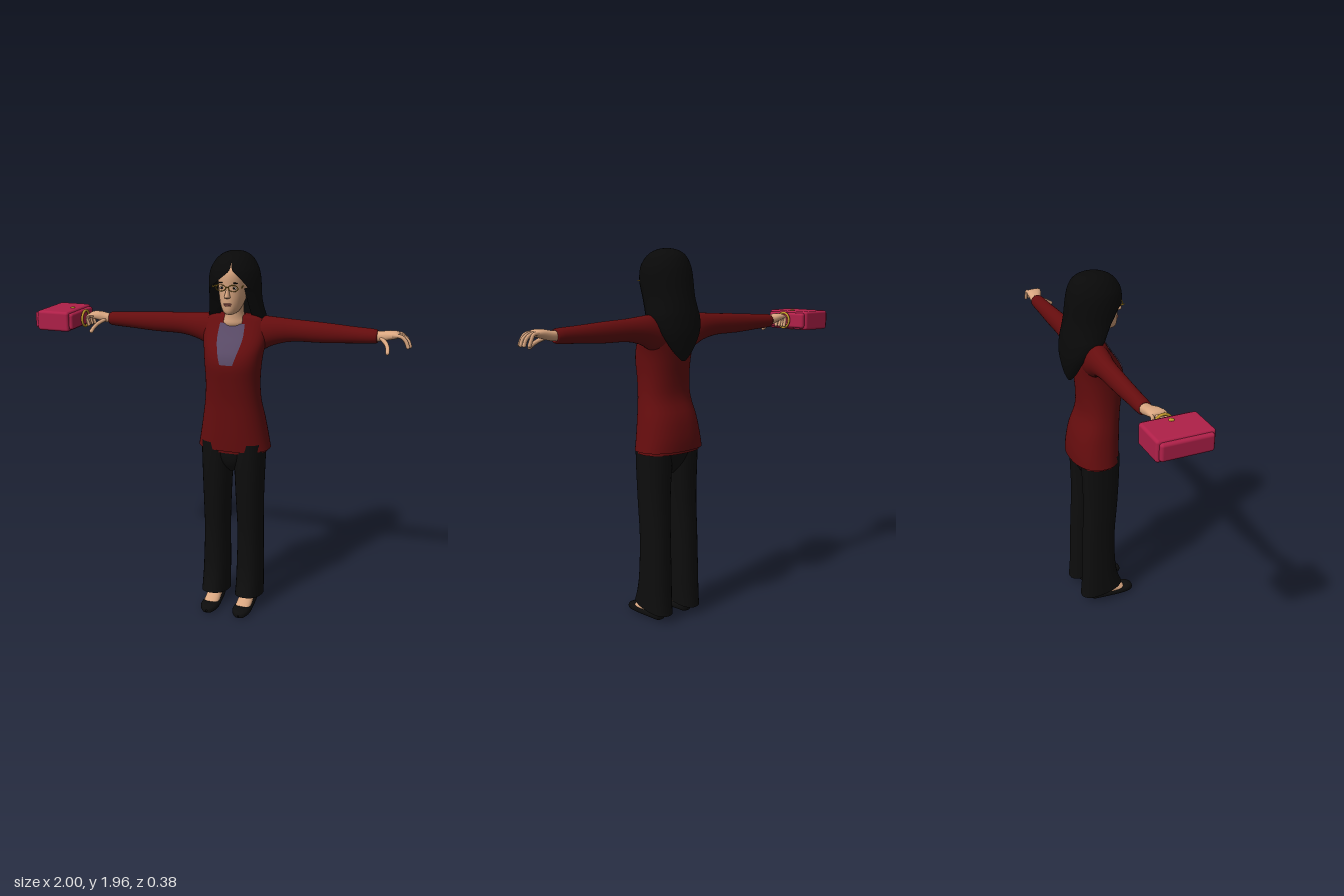
import * as THREE from 'three';
import { mergeVertices } from 'three/addons/utils/BufferGeometryUtils.js';
import { RoundedBoxGeometry } from 'three/addons/geometries/RoundedBoxGeometry.js';

const colour = (name, hex, side = THREE.FrontSide) => {
  const m = new THREE.MeshStandardMaterial({ color: hex, side });
  m.name = name;
  return m;
};

// Smooth interpolation through the rows of a profile, u in 0..1
function sample(rows, u) {
  const f = u * (rows.length - 1), i = Math.min(Math.floor(f), rows.length - 2), t = f - i;
  const r = k => rows[Math.max(0, Math.min(rows.length - 1, k))];
  return rows[i].map((b, k) => {
    const a = r(i - 1)[k], c = r(i + 1)[k], d = r(i + 2)[k];
    return b + 0.5 * t * (c - a + t * (2 * a - 5 * b + 4 * c - d + t * (3 * (b - c) + d - a)));
  });
}

// Surface from a point function on a (u, v) grid
function grid(nu, nv, fn) {
  const pos = [], idx = [];
  for (let i = 0; i <= nu; i++) for (let j = 0; j <= nv; j++) pos.push(...fn(i / nu, j / nv));
  for (let i = 0; i < nu; i++) for (let j = 0; j < nv; j++) {
    const a = i * (nv + 1) + j, b = a + nv + 1;
    idx.push(a, a + 1, b, a + 1, b + 1, b);
  }
  let g = new THREE.BufferGeometry();
  g.setAttribute('position', new THREE.Float32BufferAttribute(pos, 3));
  g.setIndex(idx);
  g = mergeVertices(g, 1e-5);
  g.computeVertexNormals();
  return g;
}

// Loft of ellipse-like sections; row = [along axis, side centre, side radius, low, high]
function loft(axis, rows, power = 2, nv = 28) {
  const pw = v => Math.sign(v) * Math.abs(v) ** (2 / power);
  return grid((rows.length - 1) * 3, nv, (u, v) => {
    const [t, c, r, lo, hi] = sample(rows, u), th = (v % 1) * Math.PI * 2;
    const a = c + r * pw(Math.sin(th)), b = (lo + hi) / 2 + (hi - lo) / 2 * pw(Math.cos(th));
    return axis === 'y' ? [a, t, b] : axis === 'x' ? [t, b, a] : [a, b, t];
  });
}

// Copy reflected to the other side, with corner order kept outward
function mirrored(geo) {
  const g = geo.clone().scale(-1, 1, 1), ix = g.index.array;
  for (let i = 0; i < ix.length; i += 3) [ix[i], ix[i + 1]] = [ix[i + 1], ix[i]];
  g.computeVertexNormals();
  return g;
}

export function createModel() {
  const D = THREE.DoubleSide;
  const skin = colour('skin', 0xd9a680), red = colour('jacket red', 0x650d0e, D), black = colour('trouser black', 0x0d0d0d, D),
    hairMat = colour('hair black', 0x090909, D), purple = colour('blouse purple', 0x594a66, D), pink = colour('bag pink', 0xb02049),
    gold = colour('gold', 0xc49a2c), lip = colour('lip', 0xb0685c), white = colour('eye white', 0xe8e0d8);
  const model = new THREE.Group();
  model.name = 'woman with handbag';
  const body = new THREE.Group();
  body.name = 'body';
  body.position.x = 0.105;
  model.add(body);
  const add = (name, geo, mat, p = [0, 0, 0], s = [1, 1, 1], parent = body) => {
    const m = new THREE.Mesh(geo, mat);
    m.name = name;
    m.position.set(...p);
    m.scale.set(...s);
    parent.add(m);
    return m;
  };
  const pair = (name, geo, mat) => {
    add('left ' + name, geo, mat);
    add('right ' + name, mirrored(geo), mat);
  };

  // Jacket
  const jacket = [[0.93, 0, 0.195, -0.153, 0.105], [1.0, 0, 0.182, -0.152, 0.11], [1.1, 0, 0.165, -0.135, 0.115],
    [1.2, 0, 0.148, -0.1, 0.12], [1.3, 0, 0.143, -0.097, 0.132], [1.39, 0, 0.148, -0.105, 0.143],
    [1.45, 0, 0.155, -0.112, 0.13], [1.5, 0, 0.165, -0.117, 0.1], [1.55, 0, 0.17, -0.117, 0.065],
    [1.6, 0, 0.165, -0.112, 0.035], [1.63, 0, 0.135, -0.1, 0.02], [1.64, 0, 0.05, -0.06, 0.01]];
  add('jacket', loft('y', jacket, 2.3, 48), red);
  add('jacket lining', loft('y', [[0.915, 0, 0.18, -0.138, 0.092], [0.96, 0, 0.178, -0.138, 0.095]], 2.3, 48), red);

  // Blouse panel laid over the chest
  const neckline = [[1.405, 0.034], [1.44, 0.045], [1.5, 0.062], [1.54, 0.068], [1.6, 0.066]];
  add('blouse', grid(24, 12, (u, v) => {
    const [y, hw] = sample(neckline, u), x = (v * 2 - 1) * hw;
    const k = jacket.findIndex(r => r[0] > y) - 1, f = (y - jacket[k][0]) / (jacket[k + 1][0] - jacket[k][0]);
    const [, , w, lo, hi] = sample(jacket, (k + f) / (jacket.length - 1));
    return [x, y, (lo + hi) / 2 + (hi - lo) / 2 * (1 - Math.abs(x / w) ** 2.3) ** (1 / 2.3) + 0.006];
  }), purple);

  // Sleeves
  pair('sleeve', loft('x', [[0.08, -0.04, 0.07, 1.44, 1.61], [0.14, -0.045, 0.066, 1.455, 1.632], [0.2, -0.05, 0.06, 1.485, 1.63],
    [0.3, -0.058, 0.048, 1.508, 1.622], [0.45, -0.06, 0.042, 1.511, 1.615], [0.6, -0.06, 0.038, 1.52, 1.605],
    [0.715, -0.06, 0.036, 1.527, 1.598], [0.717, -0.06, 0.02, 1.54, 1.585]]), red);

  // Hands: palm, thumb and four fingers, the right one gripping
  pair('palm', loft('x', [[0.69, -0.06, 0.025, 1.54, 1.586], [0.74, -0.058, 0.03, 1.541, 1.59], [0.78, -0.05, 0.038, 1.552, 1.598],
    [0.815, -0.045, 0.042, 1.562, 1.598], [0.83, -0.045, 0.034, 1.57, 1.592], [0.835, -0.045, 0.001, 1.58, 1.582]], 2.4), skin);
  const finger = (name, pts, r, s) => {
    const curve = new THREE.CatmullRomCurve3(pts.map(([x, y, z]) => new THREE.Vector3(x, y, z)));
    const tube = new THREE.TubeGeometry(curve, 12, r, 8);
    add(name, s > 0 ? tube : mirrored(tube), skin);
    const e = pts[pts.length - 1];
    add(name + ' tip', new THREE.SphereGeometry(r, 10, 8), skin, [e[0] * s, e[1], e[2]]);
  };
  for (const s of [1, -1]) {
    const side = s > 0 ? 'left' : 'right';
    finger(side + ' thumb', [[0.745, 1.56, -0.035], [0.775, 1.54, 0], [0.788, 1.52, 0.03], [0.79, 1.508, 0.048]], 0.0105, s);
    for (let i = 0; i < 4; i++) {
      const z = -0.077 + i * 0.022, d = [0.018, 0.004, 0, 0.008][i];
      finger(`${side} finger ${i + 1}`, s > 0
        ? [[0.8, 1.582, z], [0.845, 1.578, z], [0.875 - d, 1.558, z], [0.887 - d, 1.53, z]]
        : [[0.8, 1.582, z], [0.832, 1.578, z], [0.845 - d / 2, 1.558, z], [0.838 - d / 2, 1.53, z]], 0.0095, s);
    }
  }

  // Trousers, with the hem raised towards the front
  const leg = loft('y', [[0.04, 0.097, 0.073, -0.132, 0.115], [0.12, 0.097, 0.072, -0.125, 0.095], [0.25, 0.096, 0.071, -0.12, 0.075],
    [0.45, 0.095, 0.068, -0.115, 0.07], [0.65, 0.092, 0.073, -0.107, 0.085], [0.85, 0.09, 0.08, -0.112, 0.095],
    [0.97, 0.088, 0.085, -0.115, 0.095]], 2.3);
  const lp = leg.attributes.position;
  for (let i = 0; i < lp.count; i++) {
    const y = lp.getY(i), fade = Math.max(0, 1 - (y - 0.04) / 0.15);
    lp.setY(i, y + 0.2 * Math.max(0, lp.getZ(i) + 0.13) * fade);
  }
  leg.computeVertexNormals();
  pair('trouser leg', leg, black);
  add('trouser seat', loft('y', [[0.8, 0, 0.02, -0.06, 0.04], [0.85, 0, 0.08, -0.1, 0.08], [0.92, 0, 0.165, -0.118, 0.09],
    [1.0, 0, 0.15, -0.1, 0.08], [1.01, 0, 0.001, -0.01, 0.01]]), black);

  // Shoes and feet
  pair('shoe', loft('z', [[0.19, 0.092, 0.004, 0.01, 0.02], [0.182, 0.092, 0.026, 0, 0.033], [0.155, 0.092, 0.044, 0, 0.042],
    [0.11, 0.092, 0.05, 0, 0.042], [0.04, 0.093, 0.045, 0, 0.04], [-0.03, 0.094, 0.04, 0, 0.05],
    [-0.065, 0.094, 0.03, 0, 0.055], [-0.075, 0.094, 0.002, 0.02, 0.04]], 2.8), black);
  pair('foot', loft('z', [[0.14, 0.092, 0.01, 0.02, 0.03], [0.125, 0.092, 0.036, 0.01, 0.046], [0.08, 0.092, 0.042, 0.01, 0.066],
    [0.04, 0.093, 0.04, 0.01, 0.088], [0, 0.093, 0.036, 0.01, 0.13], [-0.04, 0.093, 0.03, 0.01, 0.13],
    [-0.055, 0.093, 0.002, 0.04, 0.1]]), skin);

  // Neck and head
  add('neck', loft('y', [[1.56, 0, 0.055, -0.07, 0.03], [1.595, 0, 0.066, -0.07, 0.052], [1.625, 0, 0.054, -0.065, 0.053],
    [1.66, 0, 0.046, -0.06, 0.055], [1.73, 0, 0.046, -0.06, 0.06]]), skin);
  add('head', loft('y', [[1.652, 0, 0.002, 0.07, 0.08], [1.656, 0, 0.022, 0.03, 0.104], [1.67, 0, 0.04, 0, 0.115], [1.7, 0, 0.056, -0.04, 0.12],
    [1.74, 0, 0.067, -0.07, 0.121], [1.79, 0, 0.073, -0.08, 0.119], [1.84, 0, 0.075, -0.085, 0.123],
    [1.88, 0, 0.07, -0.08, 0.112], [1.92, 0, 0.045, -0.05, 0.07], [1.93, 0, 0.002, -0.01, 0.01]]), skin);
  add('nose', loft('y', [[1.738, 0, 0.004, 0.1, 0.125], [1.744, 0, 0.016, 0.1, 0.143], [1.752, 0, 0.014, 0.1, 0.148],
    [1.775, 0, 0.009, 0.1, 0.134], [1.8, 0, 0.007, 0.1, 0.122]], 2, 14), skin);
  const ball = new THREE.SphereGeometry(1, 16, 10);
  add('upper lip', ball, lip, [0, 1.711, 0.119], [0.022, 0.005, 0.007]);
  add('lower lip', ball, lip, [0, 1.704, 0.118], [0.018, 0.005, 0.008]);

  // Eyes, brows and glasses
  for (const s of [1, -1]) {
    const side = s > 0 ? 'left' : 'right';
    add(side + ' eye', ball, white, [s * 0.031, 1.79, 0.108], [0.013, 0.006, 0.005]);
    add(side + ' pupil', ball, hairMat, [s * 0.031, 1.79, 0.111], [0.005, 0.0055, 0.004]);
    add(side + ' brow', ball, hairMat, [s * 0.033, 1.816, 0.11], [0.019, 0.003, 0.005]).rotation.z = -s * 0.1;
    add(side + ' lens frame', new THREE.TorusGeometry(0.025, 0.0027, 6, 24), gold, [s * 0.032, 1.792, 0.128], [1, 0.62, 1]);
    add(side + ' temple', new THREE.BoxGeometry(0.004, 0.006, 0.11), gold, [s * 0.066, 1.797, 0.075]).rotation.y = s * 0.18;
  }
  add('glasses bridge', new THREE.BoxGeometry(0.016, 0.005, 0.005), gold, [0, 1.796, 0.13]);

  // Long hair, parted above the face; row = [y, width, back, front, opening from, opening to]
  const hair = [[1.4, 0.012, -0.15, -0.13, -1.57, 1.57], [1.43, 0.045, -0.165, -0.1, -1.57, 1.57], [1.48, 0.085, -0.178, -0.07, -1.57, 1.57],
    [1.55, 0.125, -0.187, -0.03, -1.5, 1.5], [1.62, 0.15, -0.182, 0.06, -1.15, 1.15], [1.66, 0.143, -0.176, 0.09, -1.1, 1.1],
    [1.72, 0.134, -0.165, 0.12, -1.05, 1.05], [1.78, 0.133, -0.157, 0.135, -0.8, 0.88], [1.82, 0.131, -0.152, 0.138, -0.45, 0.65],
    [1.85, 0.127, -0.147, 0.136, -0.15, 0.45], [1.88, 0.118, -0.14, 0.129, 0.1, 0.22], [1.92, 0.094, -0.122, 0.102, 0.15, 0.15],
    [1.945, 0.064, -0.092, 0.066, 0.15, 0.15], [1.958, 0.03, -0.05, 0.022, 0.15, 0.15], [1.96, 0.001, -0.016, -0.014, 0.15, 0.15]];
  add('hair', grid(42, 48, (u, v) => {
    const [y, w, zb, zf, a, b] = sample(hair, u), th = b + v * (Math.PI * 2 + a - b);
    const curl = (v === 0 || v === 1) && y > 1.6 && y < 1.79;
    const x = w * Math.sin(th), z = (zb + zf) / 2 + (zf - zb) / 2 * Math.cos(th);
    return curl ? [x * 0.62, y, z - 0.03] : [x, y, z];
  }), hairMat);

  // Handbag held by its ring
  const bag = new THREE.Group();
  bag.name = 'handbag';
  bag.position.set(-0.888, 1.557, -0.04);
  model.add(bag);
  add('bag body', new RoundedBoxGeometry(0.224, 0.086, 0.255, 4, 0.014), pink, [0, 0, 0], [1, 1, 1], bag);
  add('bag panels', new RoundedBoxGeometry(0.185, 0.106, 0.28, 4, 0.014), pink, [0, 0, 0], [1, 1, 1], bag);
  add('bag ring', new THREE.TorusGeometry(0.042, 0.007, 10, 32), gold, [0.128, 0, 0], [1, 1, 1], bag).rotation.y = Math.PI / 2;
  for (const s of [1, -1]) add('clasp', ball, gold, [0.052, s * 0.053, 0], [0.012, 0.006, 0.014], bag);
  return model;
}
